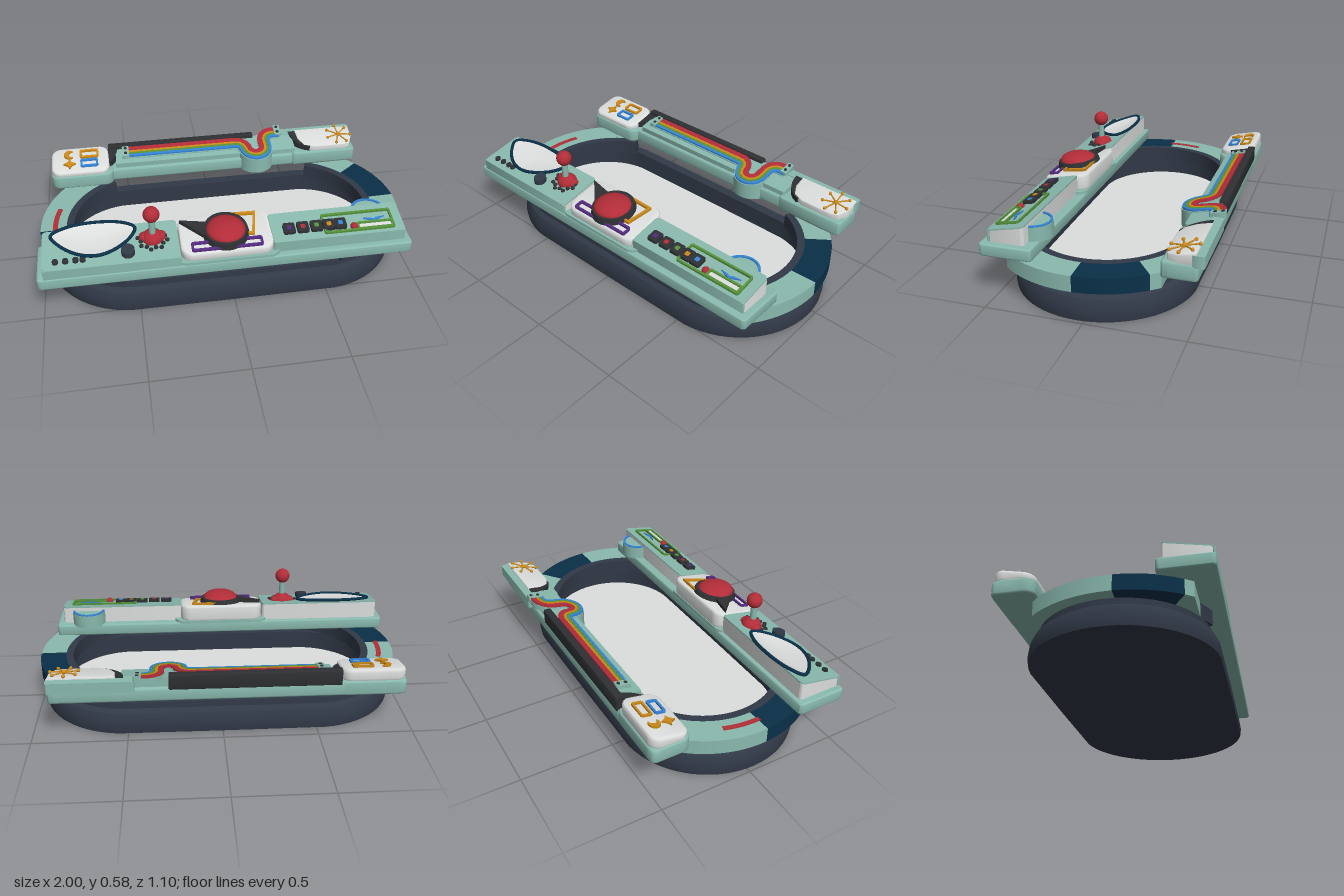
import * as THREE from 'three';
import { toCreasedNormals } from 'three/addons/utils/BufferGeometryUtils.js';

const material = (name, color, side = THREE.FrontSide) => {
  const m = new THREE.MeshStandardMaterial({ color, side });
  m.name = name;
  return m;
};

export function createModel() {
  const root = new THREE.Group();
  root.name = 'controlDesk';
  const teal = material('teal', 0x89b9ae), white = material('white', 0xdcdfde, THREE.DoubleSide);
  const slate = material('slate', 0x313947), black = material('black', 0x2e3033);
  const red = material('red', 0xb22d38), orange = material('orange', 0xcc8a18);
  const navy = material('navy', 0x0a3049), blue = material('blue', 0x3584d8);
  const green = material('green', 0x55923a), purple = material('purple', 0x562c82);

  // Sloping tops of the front and back consoles
  const frontY = z => 0.4 - 0.2 * (z - 0.33);
  const backY = z => 0.335 + 0.2 * (-0.3 - z);

  const add = (name, mat, geo, x = 0, y = 0, z = 0) => {
    const m = new THREE.Mesh(geo, mat);
    m.name = name;
    m.position.set(x, y, z);
    root.add(m);
    return m;
  };
  const moveY = (geo, rule) => {
    const p = geo.attributes.position;
    for (let i = 0; i < p.count; i++) p.setY(i, rule(p.getY(i), p.getZ(i)));
    return geo;
  };

  // Shapes are drawn in (x, z) and extruded in y
  const extrude = (shape, y0, y1, b = 0) => {
    const g = new THREE.ExtrudeGeometry(shape, {
      depth: y1 - y0 - 2 * b, bevelEnabled: b > 0, bevelSize: b, bevelThickness: b,
      bevelOffset: -b, bevelSegments: 3, curveSegments: 16,
    });
    return g.rotateX(Math.PI / 2).translate(0, y1 - b, 0);
  };
  const slab = (name, mat, shape, y0, y1, b = 0, slope = null) => {
    const g = extrude(shape, y0, y1, b);
    if (slope) moveY(g, (y, z) => y + (slope(z) - y1) * (y - y0) / (y1 - y0));
    return add(name, mat, toCreasedNormals(g, 0.6));
  };
  const plate = (name, mat, shape, slope, lift = 0, thick = 0.009) =>
    add(name, mat, toCreasedNormals(moveY(extrude(shape, lift, lift + thick), (y, z) => y + slope(z)), 0.6));

  const rect = (x0, x1, z0, z1, r = 0.01, s = new THREE.Shape()) => {
    s.absarc(x1 - r, z0 + r, r, -Math.PI / 2, 0);
    s.absarc(x1 - r, z1 - r, r, 0, Math.PI / 2);
    s.absarc(x0 + r, z1 - r, r, Math.PI / 2, Math.PI);
    s.absarc(x0 + r, z0 + r, r, Math.PI, Math.PI * 1.5);
    s.closePath();
    return s;
  };
  const frame = (x0, x1, z0, z1, w = 0.011) => {
    const s = rect(x0, x1, z0, z1, 0.012);
    s.holes.push(rect(x0 + w, x1 - w, z0 + w, z1 - w, 0.004, new THREE.Path()));
    return s;
  };
  const poly = pts => new THREE.Shape(pts.map(p => new THREE.Vector2(p[0], p[1])));
  const disc = (x, z, r) => new THREE.Shape().absarc(x, z, r, 0, Math.PI * 2);
  // Arc band; the inner edge may end at other angles than the outer one
  const sector = (cx, cz, r0, r1, a0, a1, b0 = a0, b1 = a1) => {
    const s = new THREE.Shape();
    s.absarc(cx, cz, r1, a0, a1, false);
    s.absarc(cx, cz, r0, b1, b0, true);
    s.closePath();
    return s;
  };

  // Stadium-shaped hollow base: a lathe pulled apart along x
  const stadium = (name, mat, profile, half) => {
    const g = new THREE.LatheGeometry(profile.map(p => new THREE.Vector2(p[0], p[1])), 64);
    const p = g.attributes.position;
    for (let i = 0; i < p.count; i++) {
      const x = p.getX(i);
      if (Math.abs(x) > 1e-6) p.setX(i, x + Math.sign(x) * half);
    }
    return add(name, mat, toCreasedNormals(g, 0.5), 0, 0, 0.04);
  };
  stadium('base', slate, [[0, 0], [0.474, 0], [0.478, 0.03], [0.472, 0.08], [0.458, 0.11],
    [0.434, 0.127], [0.432, 0.16], [0.378, 0.16], [0.378, 0.045], [0, 0.045]], 0.504);
  stadium('floor', white, [[0.377, 0.052], [0, 0.052]], 0.504);

  // Side walls and coloured rails; ends are radial (at) or cut straight across (cut)
  const deg = Math.PI / 180, cx = 0.41, cz = 0.065;
  const at = a => () => a * deg, cut = z => r => Math.asin((z - cz) / r);
  const rail = (name, mat, side, r0, r1, from, to, y0 = 0.16, y1 = 0.242) => slab(name, mat,
    side > 0 ? sector(cx, cz, r0, r1, from(r1), to(r1), from(r0), to(r0))
      : sector(-cx, cz, r0, r1, Math.PI - to(r1), Math.PI - from(r1), Math.PI - to(r0), Math.PI - from(r0)), y0, y1);
  for (const s of [-1, 1]) rail('innerWall', slate, s, 0.41, 0.45, at(-67), at(68));
  rail('rightRailBack', teal, -1, 0.45, 0.59, cut(-0.335), at(2));
  rail('rightRailPanel', navy, -1, 0.45, 0.59, at(2), at(34));
  rail('rightRailFront', teal, -1, 0.45, 0.59, at(34), cut(0.435));
  rail('rightRailStripe', red, -1, 0.497, 0.524, at(-19), at(3), 0.24, 0.2445);
  rail('leftRailBack', teal, 1, 0.45, 0.59, cut(-0.335), at(-37));
  rail('leftRailPanel', navy, 1, 0.45, 0.59, at(-37), at(-1.5));
  rail('leftRailFront', teal, 1, 0.45, 0.59, at(-1.5), cut(0.435));

  // Front console body and its three raised blocks
  slab('frontBody', teal, rect(-1, 0.935, 0.277, 0.55, 0.02), 0.24, 0.304, 0.008);
  for (const [n, x0, x1, z0, z1] of [['right', -0.965, -0.28, 0.3, 0.546], ['left', 0.2, 0.9, 0.325, 0.515]]) {
    slab(n + 'Block', white, rect(x0, x1, z0, z1 - 0.008, 0.015), 0.3, 0.38, 0, z => frontY(z) - 0.005);
    slab(n + 'BlockFront', teal, rect(x0, x1, z1 - 0.012, z1, 0.004), 0.3, 0.37, 0, frontY);
    plate(n + 'BlockTop', teal, rect(x0, x1, z0, z1, 0.02), frontY, -0.006, 0.008);
  }
  slab('middleSurround', teal, rect(-0.31, 0.24, 0.272, 0.548, 0.06), 0.3, 0.318);
  slab('middleBlock', white, rect(-0.275, 0.205, 0.275, 0.533, 0.06), 0.31, 0.38, 0.012, frontY);

  // Half-round shelf behind the left block
  slab('shelf', teal, sector(0.75, 0.335, 0.001, 0.095, Math.PI, Math.PI * 2), 0.3, 0.375);
  slab('shelfTrim', blue, sector(0.75, 0.335, 0.08, 0.092, Math.PI, Math.PI * 2), 0.375, 0.382);

  // Shallow scoop with a rounded triangular rim
  const rim = new THREE.CatmullRomCurve3([[-0.92, 0.345], [-0.84, 0.3], [-0.7, 0.283], [-0.56, 0.3], [-0.495, 0.34],
    [-0.53, 0.41], [-0.62, 0.475], [-0.7, 0.495], [-0.79, 0.475], [-0.88, 0.41]]
    .map(([x, z]) => new THREE.Vector3(x, frontY(z) + 0.018, z)), true);
  add('scoopRim', navy, new THREE.TubeGeometry(rim, 80, 0.009, 8, true));
  const scoop = new THREE.PlaneGeometry(1, 1, 64, 6), sp = scoop.attributes.position;
  const mid = new THREE.Vector3(-0.705, frontY(0.38) + 0.018, 0.38);
  for (let i = 0; i < sp.count; i++) {
    const v = sp.getY(i) + 0.5;
    const p = rim.getPoint((sp.getX(i) + 0.5) % 1).lerp(mid, 1 - v);
    sp.setXYZ(i, p.x, p.y - 0.014 * (1 - v * v), p.z);
  }
  scoop.computeVertexNormals();
  add('scoop', white, scoop);
  for (const x of [-0.9, -0.85, -0.8, -0.765])
    plate('smallButton', black, disc(x, 0.5, 0.015), frontY, 0, 0.014);
  plate('knob', slate, disc(-0.54, 0.485, 0.034), frontY, 0, 0.03);

  // Joystick
  const ball = (name, mat, x, y, z, r, sy = 1) =>
    add(name, mat, new THREE.SphereGeometry(r, 24, 16), x, y, z).scale.set(1, sy, 1);
  ball('joystickBoot', red, -0.41, 0.385, 0.4, 0.055, 0.85);
  for (const s of [-1, 1]) ball('joystickBootLobe', red, -0.41 + s * 0.038, 0.39, 0.395, 0.033, 0.8);
  add('joystickStick', teal, new THREE.CylinderGeometry(0.017, 0.017, 0.12, 16), -0.41, 0.46, 0.408);
  ball('joystickBall', red, -0.41, 0.541, 0.408, 0.042);
  for (let i = 0; i < 10; i++) {
    const a = (i / 9 * 190 - 5) * deg, r = i % 2 ? 0.076 : 0.064, z = 0.405 + r * Math.sin(a);
    ball('joystickStud', black, -0.41 + r * Math.cos(a), frontY(z) + 0.004, z, 0.0115);
  }

  // Large dome button on its dark collar, with pointer and frames
  const domeY = frontY(0.405);
  add('domeCollar', black, new THREE.CylinderGeometry(0.114, 0.124, 0.036, 40), -0.035, domeY + 0.009, 0.41).rotation.x = 0.14;
  const dome = add('domeButton', red, new THREE.SphereGeometry(0.102, 36, 12, 0, Math.PI * 2, 0, Math.PI / 2), -0.035, domeY + 0.02, 0.415);
  dome.scale.y = 0.45;
  dome.rotation.x = 0.04;
  plate('pointer', black, poly([[-0.265, 0.33], [-0.13, 0.355], [-0.1, 0.48], [-0.15, 0.44]]), frontY, 0.002, 0.022);
  const quad = poly([[-0.04, 0.3], [0.14, 0.305], [0.11, 0.45], [0.02, 0.445]]);
  quad.holes.push(poly([[-0.02, 0.313], [0.124, 0.318], [0.098, 0.437], [0.03, 0.433]]));
  plate('orangeFrame', orange, quad, frontY, 0.001, 0.014);
  plate('purpleFrame', purple, frame(-0.222, 0.145, 0.466, 0.522, 0.012), frontY, 0.001, 0.012);

  // Key row, display frames and small details on the left block
  [[0.292, purple], [0.365, red], [0.437, green], [0.503, orange], [0.565, blue]].forEach(([x, mat]) => {
    plate('key', black, rect(x - 0.031, x + 0.031, 0.41, 0.472, 0.01), frontY, 0, 0.018);
    plate('keyMark', mat, rect(x - 0.012, x + 0.012, 0.43, 0.454, 0.005), frontY, 0.018, 0.003);
  });
  ball('redButton', red, 0.635, frontY(0.462) + 0.005, 0.462, 0.02);
  plate('displayFrame', green, frame(0.472, 0.85, 0.37, 0.495), frontY, 0.001, 0.012);
  plate('lowerFrame', green, frame(0.65, 0.845, 0.443, 0.492), frontY, 0.002, 0.012);
  plate('lowerScreen', white, rect(0.66, 0.835, 0.453, 0.482, 0.004), frontY, 0.001, 0.006);
  plate('wave', blue, poly([[0.695, 0.418], [0.735, 0.421], [0.75, 0.427], [0.765, 0.419], [0.81, 0.415],
    [0.767, 0.432], [0.75, 0.439], [0.732, 0.434]]), frontY, 0.001, 0.008);

  // Back console body
  slab('backBody', teal, rect(-0.94, 0.89, -0.515, -0.345, 0.03), 0.238, 0.315, 0.012);
  slab('backBodyRightEnd', teal, rect(-0.94, -0.58, -0.517, -0.302, 0.05), 0.238, 0.32, 0.012);
  slab('backBodyLeftEnd', teal, rect(0.5, 0.89, -0.515, -0.337, 0.02), 0.238, 0.322, 0.01);
  slab('backBodyTop', teal, rect(-0.56, 0.52, -0.5, -0.36, 0.01), 0.3, 0.345, 0, z => backY(z) - 0.004);
  slab('backBulge', teal, disc(0.28, -0.392, 0.105), 0.24, 0.33, 0, z => backY(z) - 0.003);
  slab('backEdge', teal, rect(0.45, 0.89, -0.544, -0.485, 0.01), 0.31, 0.372);
  slab('backBar', black, rect(-0.6, 0.28, -0.52, -0.48, 0.008), 0.305, 0.388, 0.004);
  slab('rightPad', white, rect(-0.935, -0.6, -0.512, -0.308, 0.055), 0.31, 0.36, 0.014, z => backY(z) + 0.008);
  slab('leftPad', white, poly([[0.545, -0.505], [0.885, -0.505], [0.885, -0.42], [0.86, -0.365], [0.82, -0.352],
    [0.64, -0.352], [0.58, -0.375], [0.55, -0.43]]), 0.31, 0.36, 0.006, z => backY(z) + 0.008);
  slab('rightGasket', black, sector(-0.76, -0.515, 0.16, 0.215, 0, 1.15), 0.3, 0.35, 0, backY);
  slab('leftGasket', black, sector(0.66, -0.5, 0.115, 0.155, 1.9, Math.PI), 0.3, 0.35, 0, z => backY(z) + 0.003);

  // Rainbow stripes: straight run, dip and rise, offset from one path
  const edge = o => {
    const pts = [[-0.49, -0.437 + o]];
    const arc = (x, z, r, a0, a1) => {
      for (let i = 0; i <= 12; i++) {
        const a = (a0 + (a1 - a0) * i / 12) * deg;
        pts.push([x + r * Math.cos(a), z + r * Math.sin(a)]);
      }
    };
    arc(0.16, -0.377, 0.06 - o, -90, 0);
    arc(0.28, -0.387, 0.06 + o, 180, 0);
    arc(0.4, -0.44, 0.06 - o, 180, 270);
    pts.push([0.44, -0.5 + o]);
    return pts;
  };
  const ribbon = (o0, o1) => poly([...edge(o0), ...edge(o1).reverse()]);
  plate('rainbowBed', teal, ribbon(-0.042, 0.042), backY, -0.03, 0.032);
  [red, red, orange, green, blue].forEach((mat, i) => {
    const o = -0.038 + i * 0.0152;
    plate('rainbowStripe', mat, ribbon(o, o + (i === 0 ? 0.0152 : 0.0146)), backY, 0, 0.012);
  });
  for (const [x, z] of [[-0.5, -0.437], [0.435, -0.51]]) {
    plate('rainbowClip', teal, rect(x - 0.02, x + 0.02, z - 0.038, z + 0.042, 0.006), backY, -0.02, 0.038);
    for (const d of [-0.02, 0.02]) plate('clipScrew', black, disc(x, z + d, 0.009), backY, 0.018, 0.004);
  }

  // Symbols on the right pad
  const moon = new THREE.Shape();
  moon.absarc(-0.83, -0.445, 0.031, -50 * deg, 50 * deg, true);
  moon.absarc(-0.81, -0.445, 0.0237, 90 * deg, 270 * deg, false);
  plate('moon', orange, moon, backY, 0.007, 0.012);
  const star = [];
  for (let i = 0; i < 8; i++) {
    const r = i % 2 ? 0.018 : 0.036;
    star.push([-0.83 + r * Math.cos(i * 45 * deg), -0.37 + r * Math.sin(i * 45 * deg)]);
  }
  plate('star', orange, poly(star), backY, 0.007, 0.012);
  plate('orangeSquare', orange, frame(-0.77, -0.66, -0.477, -0.415, 0.012), backY, 0.007, 0.012);
  plate('blueSquare', blue, frame(-0.768, -0.665, -0.402, -0.342, 0.012), backY, 0.007, 0.012);

  // Starburst on the left pad
  const hub = new THREE.Vector3(0.805, backY(-0.43) + 0.015, -0.43);
  for (let i = 0; i < 7; i++) {
    const a = (i / 7 * 360 - 95) * deg, z = hub.z + 0.073 * Math.sin(a);
    const tip = new THREE.Vector3(hub.x + 0.073 * Math.cos(a), backY(z) + 0.015, z);
    add('starburstRay', orange, new THREE.TubeGeometry(new THREE.LineCurve3(hub, tip), 1, 0.004, 8));
    ball('starburstTip', orange, tip.x, tip.y, tip.z, 0.009);
  }
  ball('starburstHub', orange, hub.x, hub.y, hub.z, 0.013);
  return root;
}
